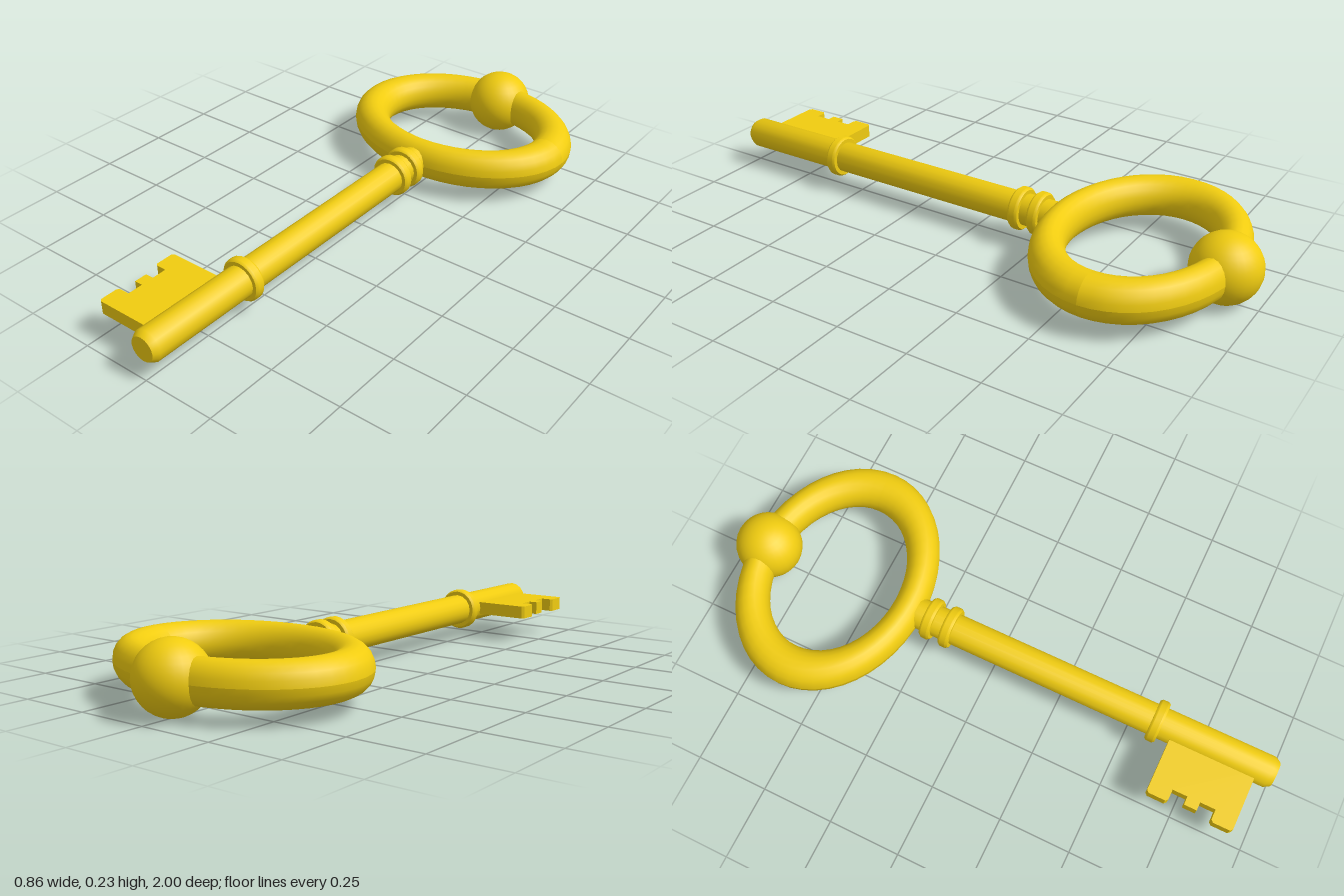
import * as THREE from 'three';
import { toCreasedNormals } from 'three/addons/utils/BufferGeometryUtils.js';

const AXIS_Y = 0.117;

export function createModel() {
  const key = new THREE.Group();
  key.name = 'key';
  const brass = new THREE.MeshStandardMaterial({ color: 0xf0cc10 });

  const add = (name, geometry, z = 0) => {
    const mesh = new THREE.Mesh(geometry, brass);
    mesh.name = name;
    mesh.position.set(0, AXIS_Y, z);
    key.add(mesh);
    return mesh;
  };

  // Turned parts: profile of [radius, z] revolved round the z axis
  const turned = (profile, sides) => {
    const points = profile.map(([r, z]) => new THREE.Vector2(r, z));
    const geometry = new THREE.LatheGeometry(points, sides).rotateX(Math.PI / 2);
    return toCreasedNormals(geometry, 0.75);
  };

  // Oval bow: a flattened ring lying in the horizontal plane
  const bow = new THREE.TorusGeometry(0.359, 0.07, 20, 48);
  bow.rotateX(Math.PI / 2).scale(1, 1, 0.76);
  bow.computeVertexNormals();
  add('bow', bow, -0.61);

  // Ball at the far end of the bow
  add('ball', new THREE.SphereGeometry(0.114, 28, 18), -0.886);

  // Shaft with a small chamfer at the tip
  add('shaft', turned([[0, -0.31], [0.054, -0.3], [0.054, 0.98], [0.042, 1], [0, 1]], 16));

  // Rounded collars
  const collar = [[0.05, -0.018], [0.067, -0.018], [0.073, -0.01], [0.073, 0.01], [0.067, 0.018], [0.05, 0.018]];
  for (const z of [-0.247, -0.176, 0.586]) add('collar', turned(collar, 24), z);

  // Toothed bit, outlined in x and z and extruded through its thickness
  const outline = [
    [-0.02, 0.645], [-0.232, 0.645], [-0.24, 0.653], [-0.24, 0.711], [-0.232, 0.719],
    [-0.197, 0.719], [-0.197, 0.77], [-0.226, 0.77], [-0.226, 0.814], [-0.197, 0.814],
    [-0.197, 0.867], [-0.232, 0.867], [-0.24, 0.875], [-0.24, 0.933], [-0.232, 0.941],
    [-0.02, 0.941],
  ];
  const bitShape = new THREE.Shape(outline.map(([x, z]) => new THREE.Vector2(x, z)));
  const bit = new THREE.ExtrudeGeometry(bitShape, { depth: 0.045, bevelEnabled: false });
  bit.translate(0, 0, -0.0225).rotateX(Math.PI / 2);
  add('bit', bit);

  return key;
}
